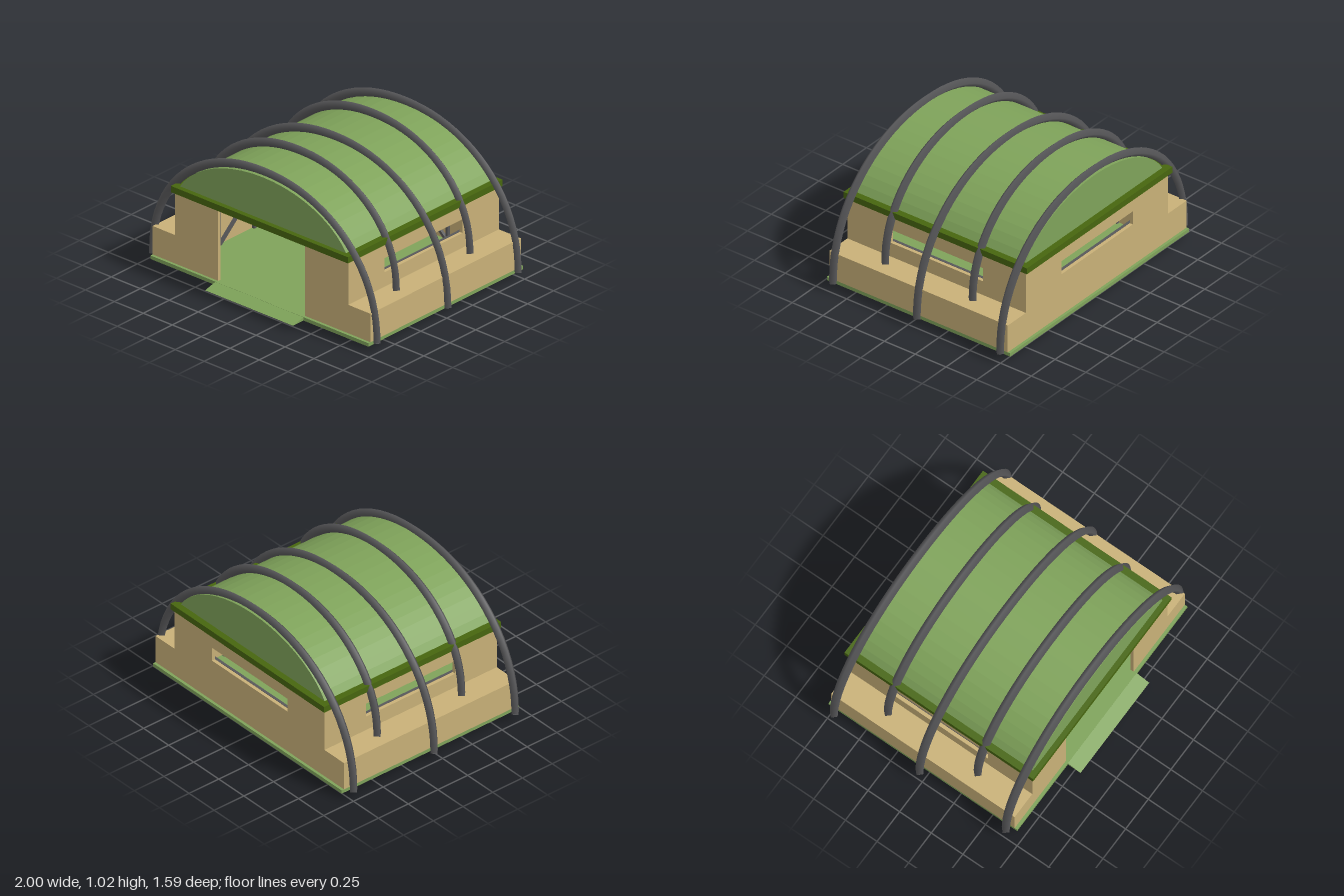
import * as THREE from 'three';

const mat = (name, color, side = THREE.FrontSide) => {
  const m = new THREE.MeshStandardMaterial({ color, side });
  m.name = name;
  return m;
};

export function createModel() {
  const model = new THREE.Group();
  model.name = 'archedShelter';
  const tan = mat('tan wall', 0xc9b178);
  const green = mat('leaf green', 0x7fa35a);
  const olive = mat('dark olive', 0x47660f);
  const grey = mat('steel grey', 0x58585a, THREE.DoubleSide);

  const add = (parent, name, geo, material) => {
    const mesh = new THREE.Mesh(geo, material);
    mesh.name = name;
    parent.add(mesh);
    return mesh;
  };
  // box given by its limits on each axis
  const box = (parent, name, [x0, x1], [y0, y1], [z0, z1], material) => {
    const mesh = add(parent, name, new THREE.BoxGeometry(x1 - x0, y1 - y0, z1 - z0), material);
    mesh.position.set((x0 + x1) / 2, (y0 + y1) / 2, (z0 + z1) / 2);
    return mesh;
  };
  const outline = (pts) => new THREE.Shape(pts.map(([x, y]) => new THREE.Vector2(x, y)));
  const extrude = (shape, depth) => new THREE.ExtrudeGeometry(shape, { depth, bevelEnabled: false });
  const windowHole = (x0, x1) =>
    new THREE.Path([[x0, 0.375], [x0, 0.475], [x1, 0.475], [x1, 0.375]].map(([x, y]) => new THREE.Vector2(x, y)));

  // floor and entrance ramp
  box(model, 'floor', [-0.93, 0.95], [0.04, 0.065], [-0.79, 0.70], green);
  const ramp = add(model, 'entranceRamp', extrude(outline([[-0.70, 0.04], [-0.70, 0.064], [-0.80, 0.04]]), 0.76), green);
  ramp.rotation.y = Math.PI / 2;
  ramp.position.x = -0.37;

  // stepped front wall with doorway
  const T = 0.025, B = 0.065, LEDGE = 0.27, TOP = 0.58;
  const front = add(model, 'frontWall', extrude(outline([
    [-0.93, B], [-0.365, B], [-0.365, TOP], [-0.735, TOP], [-0.735, LEDGE], [-0.93, LEDGE],
  ]), T), tan);
  front.position.z = 0.68 - T;
  const frontLeft = add(model, 'frontWall', extrude(outline([
    [0.385, B], [0.95, B], [0.95, LEDGE], [0.76, LEDGE], [0.76, TOP], [0.385, TOP],
  ]), T), tan);
  frontLeft.position.z = 0.68 - T;

  // stepped back wall with window
  const backShape = outline([
    [-0.93, B], [0.95, B], [0.95, LEDGE], [0.76, LEDGE], [0.76, TOP], [-0.735, TOP], [-0.735, LEDGE], [-0.93, LEDGE],
  ]);
  backShape.holes.push(windowHole(-0.365, 0.385));
  add(model, 'backWall', extrude(backShape, T), tan).position.z = -0.77;

  // side walls with windows, and the ledges outside them
  for (const [x, ledge] of [[-0.735, [-0.93, -0.735]], [0.76 - T, [0.76, 0.95]]]) {
    const shape = outline([[-0.655, B], [0.745, B], [0.745, TOP], [-0.655, TOP]]);
    shape.holes.push(windowHole(-0.33, 0.42));
    const wall = add(model, 'sideWall', extrude(shape, T), tan);
    wall.rotation.y = Math.PI / 2;
    wall.position.x = x;
    box(model, 'sideLedge', ledge, [B, LEDGE], [-0.745, 0.655], tan);
  }

  // braced frames inside the back and side walls
  const braceFrame = (name, half) => {
    const g = new THREE.Group();
    g.name = name;
    const w = 0.01;
    for (const y of [0.365, 0.49]) box(g, 'rail', [-half, half], [y - w, y + w], [-w, w], grey);
    for (const x of [-0.34, 0, 0.34]) {
      box(g, 'lowerPost', [x - w, x + w], [0.035, 0.36], [-w, w], grey);
      box(g, 'upperPost', [x - w, x + w], [0.49, TOP], [-w, w], grey);
    }
    for (const s of [-1, 1]) {
      const a = new THREE.Vector2(0, 0.36), b = new THREE.Vector2(s * 0.395, 0.015);
      const brace = add(g, 'diagonalBrace', new THREE.BoxGeometry(a.distanceTo(b), 2 * w, 2 * w), grey);
      brace.position.set((a.x + b.x) / 2, (a.y + b.y) / 2, 0);
      brace.rotation.z = Math.atan2(b.y - a.y, b.x - a.x);
    }
    model.add(g);
    return g;
  };
  braceFrame('backFrame', 0.71).position.set(0.01, 0, -0.733);
  for (const x of [-0.698, 0.723]) {
    const frame = braceFrame('sideFrame', 0.68);
    frame.rotation.y = Math.PI / 2;
    frame.position.set(x, 0, -0.04);
  }
  for (const x of [-0.70, 0.737]) box(model, 'cornerPost', [x - 0.013, x + 0.013], [0, TOP], [-0.745, -0.718], grey);

  // roof slab and vaulted roof
  box(model, 'roofSlab', [-0.755, 0.775], [TOP, 0.625], [-0.79, 0.70], olive);
  const vault = [], a0 = Math.asin(0.17 / 0.48);
  for (let i = 0; i <= 20; i++) {
    const a = a0 + (Math.PI - 2 * a0) * i / 20;
    vault.push([0.01 + 0.77 * Math.cos(a), 0.45 + 0.48 * Math.sin(a)]);
  }
  add(model, 'vaultedRoof', extrude(outline(vault), 1.41), green).position.z = -0.745;

  // arched ribs: three wide ones to the ground, two narrow ones on the ledges
  const rib = (name, z, cx, halfWidth, base, top) => {
    const pts = [];
    for (let i = 0; i <= 24; i++) {
      const a = Math.PI * i / 24, c = Math.cos(a), s = Math.sin(a);
      pts.push(new THREE.Vector3(
        cx + halfWidth * Math.sign(c) * Math.abs(c) ** 0.95,
        base + (top - base) * Math.max(s, 0) ** 0.95, z));
    }
    const path = new THREE.CatmullRomCurve3(pts);
    add(model, name, new THREE.TubeGeometry(path, 40, 0.031, 4), grey);
    // closed feet
    for (const x of [cx - halfWidth, cx + halfWidth]) {
      const foot = add(model, 'ribFoot', new THREE.CircleGeometry(0.031, 4), grey);
      foot.rotation.x = Math.PI / 2;
      foot.position.set(x, base, z);
    }
  };
  for (const z of [0.637, -0.045, -0.722]) rib('wideRib', z, 0, 0.969, 0.055, 0.957);
  for (const z of [0.31, -0.40]) rib('narrowRib', z, 0.01, 0.832, LEDGE, 0.993);

  return model;
}
